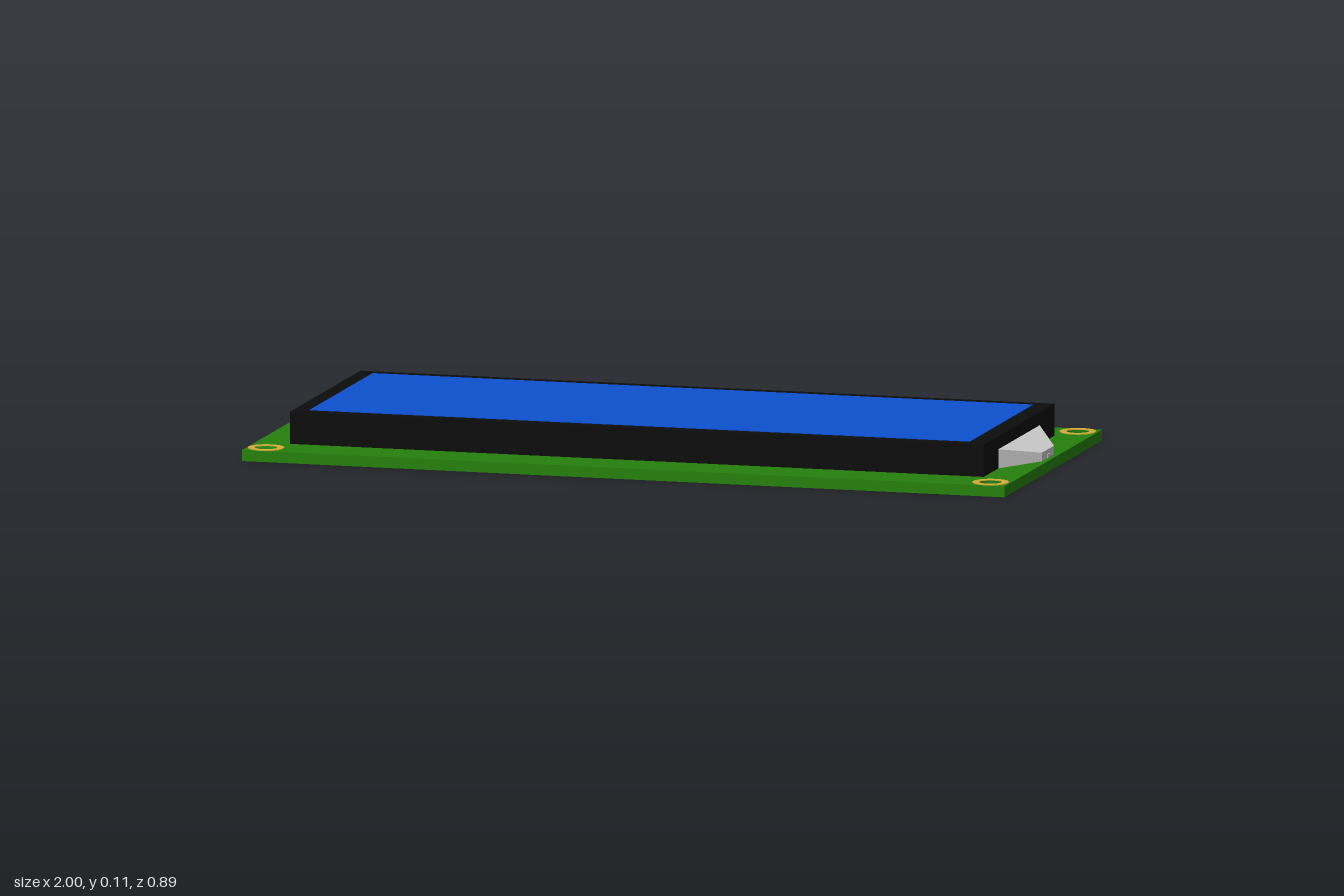
import * as THREE from 'three';
import { ConvexGeometry } from 'three/addons/geometries/ConvexGeometry.js';

const material = (color) => new THREE.MeshStandardMaterial({ color });
const BOARD_TOP = 0.028;

export function createModel() {
  const model = new THREE.Group();
  const green = material(0x26800d);
  const black = material(0x0c0c0c);
  const blue = material(0x0d50d0);
  const gold = material(0xd4af37);
  const grey = material(0xcccccc);

  const add = (name, geometry, mat, x = 0, y = 0, z = 0) => {
    const mesh = new THREE.Mesh(geometry, mat);
    mesh.name = name;
    mesh.position.set(x, y, z);
    model.add(mesh);
    return mesh;
  };

  // Flat plate standing on y = 0, from a shape drawn in x and -z
  const plate = (shape, depth) =>
    new THREE.ExtrudeGeometry(shape, { depth, bevelEnabled: false, curveSegments: 24 })
      .rotateX(-Math.PI / 2);

  const circle = (Type, x, y, r) => new Type().absarc(x, y, r, 0, Math.PI * 2, false);

  const washer = (outer, inner, depth) => {
    const shape = circle(THREE.Shape, 0, 0, outer);
    shape.holes.push(circle(THREE.Path, 0, 0, inner));
    return plate(shape, depth);
  };

  // Circuit board; the front corner on the -x side is not drilled through
  const corners = [[-0.95, -0.4], [0.95, -0.4], [0.95, 0.4], [-0.95, 0.4]];
  const outline = new THREE.Shape([
    new THREE.Vector2(-1, -0.447), new THREE.Vector2(1, -0.447),
    new THREE.Vector2(1, 0.447), new THREE.Vector2(-1, 0.447),
  ]);
  for (const [x, z] of corners.slice(0, 3)) {
    outline.holes.push(circle(THREE.Path, x, -z, 0.029));
  }
  add('circuitBoard', plate(outline, BOARD_TOP), green);

  // Gold rings round the mounting holes
  const ringGeometry = washer(0.046, 0.029, 0.002);
  for (const [x, z] of corners) add('mountingRing', ringGeometry, gold, x, BOARD_TOP, z);

  // Row of solder pads along the back edge
  const padGeometry = washer(0.019, 0.012, 0.002);
  for (let i = 0; i < 16; i++) {
    add('solderPad', padGeometry, gold, -0.843 + i * 0.0448, BOARD_TOP, -0.42);
  }

  // Display frame and screen
  add('displayFrame', new THREE.BoxGeometry(1.82, 0.082, 0.648), black, 0, BOARD_TOP + 0.041, -0.001);
  add('screen', new THREE.BoxGeometry(1.732, 0.002, 0.578), blue, -0.002, 0.1105, -0.001);

  // Tapered backlight housing on the +x end
  const points = [];
  for (const side of [-1, 1]) {
    for (const [x, y, z] of [[0.91, BOARD_TOP, 0.19], [0.91, 0.077, 0.19],
      [0.986, BOARD_TOP, 0.055], [0.986, 0.05, 0.055]]) {
      points.push(new THREE.Vector3(x, y, z * side));
    }
  }
  add('backlightHousing', new ConvexGeometry(points), grey);
  add('backlightTab', new THREE.BoxGeometry(0.006, 0.01, 0.022), grey, 0.985, BOARD_TOP + 0.005, 0);

  return model;
}
